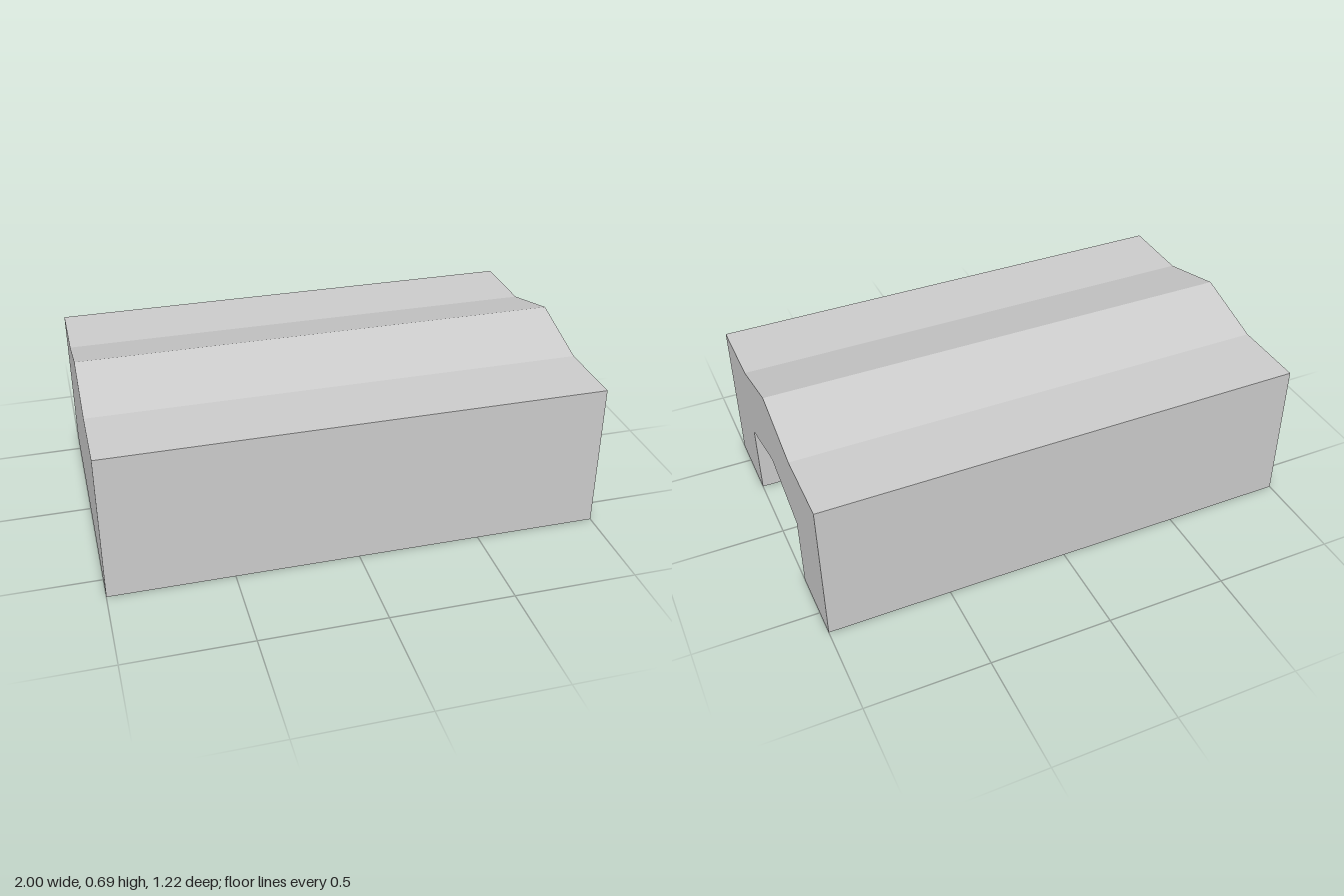
import * as THREE from 'three';

const RISE = 0.085; // height of the ridge above the flat shoulders
const RIDGE = 0.305; // half width of the ridge

// Section from one foot over the ridge to the other foot, as [z, y] points.
function profile(halfWidth, shoulder) {
  const half = [[halfWidth, 0], [halfWidth, shoulder]];
  if (halfWidth > RIDGE) half.push([RIDGE, shoulder]);
  const mirrored = half.map(([z, y]) => [-z, y]).reverse();
  return [...half, [0, shoulder + RISE], ...mirrored];
}

const outer = profile(0.61, 0.61);
const cavity = profile(0.46, 0.46);
const doorway = profile(RIDGE, 0.305);

export function createModel() {
  const group = new THREE.Group();
  const material = new THREE.MeshStandardMaterial({ color: 0xcccccc, flatShading: true });

  // Extrudes the outer section, less an optional opening through its foot, along x.
  function addSection(name, x0, x1, opening = []) {
    const points = [...outer, ...[...opening].reverse()];
    const shape = new THREE.Shape(points.map(([z, y]) => new THREE.Vector2(z, y)));
    const geometry = new THREE.ExtrudeGeometry(shape, { depth: x1 - x0, bevelEnabled: false });
    geometry.rotateY(Math.PI / 2).translate(x0, 0, 0);
    const mesh = new THREE.Mesh(geometry, material);
    mesh.name = name;
    group.add(mesh);
  }

  // Solid end, hollow body, and the end wall with the gabled doorway
  addSection('closedEndWall', -1, -0.85);
  addSection('hollowBody', -0.85, 0.88, cavity);
  addSection('doorwayWall', 0.88, 1, doorway);

  return group;
}
